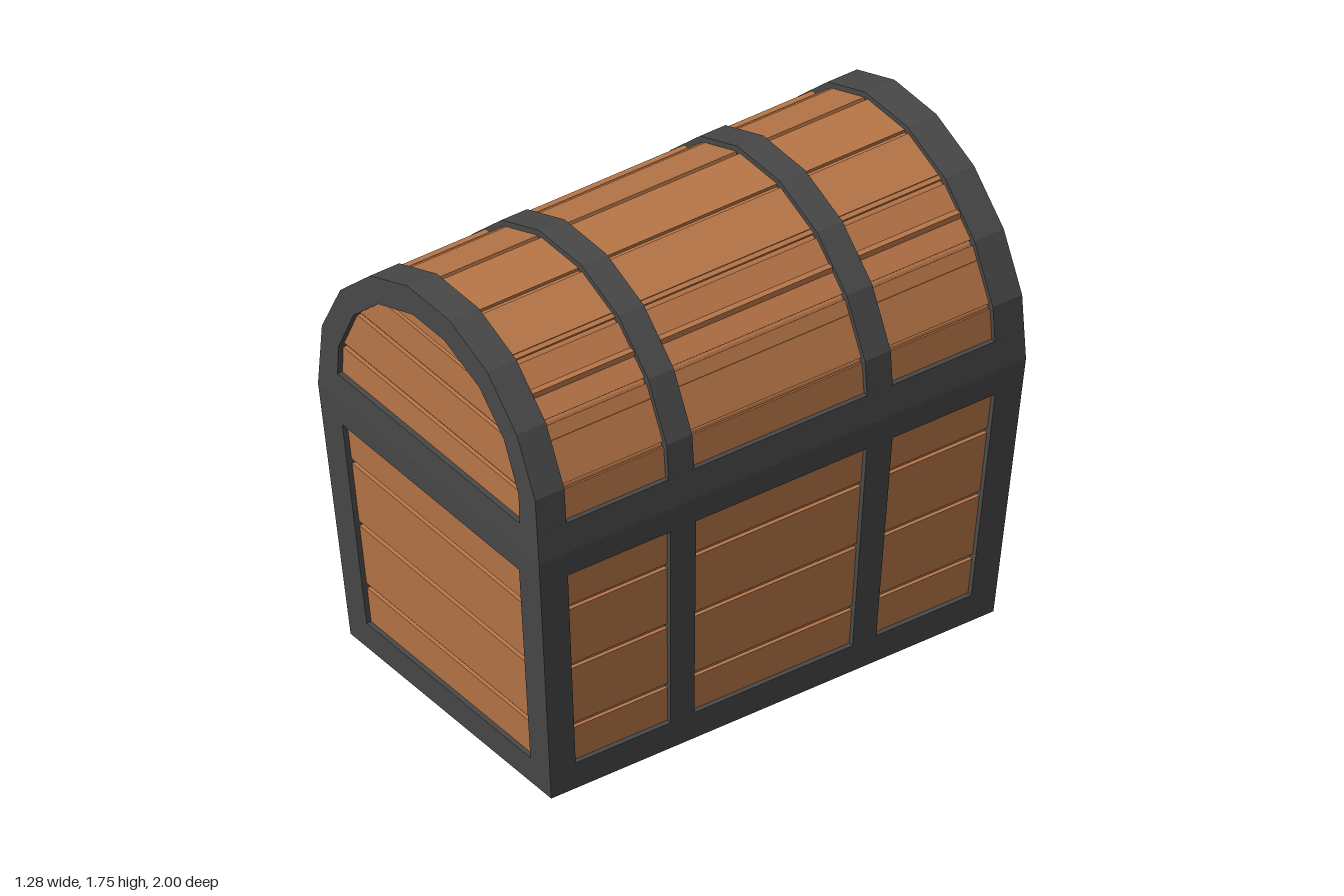
import * as THREE from 'three';

const W = 0.632, D = 1.0, SEAM = 1.04;
const mat = (name, color) => Object.assign(new THREE.MeshStandardMaterial({ color }), { name });

export function createModel() {
  const wood = mat('wood', 0xb87648);
  const iron = mat('iron', 0x484848);
  const steel = mat('steel', 0x626262);

  const chest = new THREE.Group();
  chest.name = 'chest';
  const body = new THREE.Group();
  body.name = 'body';
  const lid = new THREE.Group();
  lid.name = 'lid';
  chest.add(body, lid);

  // Narrow everything below the seam toward the floor, then shade flat
  function add(parent, name, geo, material) {
    const g = geo.index ? geo.toNonIndexed() : geo;
    const p = g.attributes.position;
    for (let i = 0; i < p.count; i++) {
      const s = 0.908 + 0.092 * Math.min(1, p.getY(i) / SEAM);
      p.setX(i, p.getX(i) * s);
      p.setZ(i, p.getZ(i) * s);
    }
    g.computeVertexNormals();
    const mesh = new THREE.Mesh(g, material);
    mesh.name = name;
    parent.add(mesh);
  }
  const box = (x0, x1, y0, y1, z0, z1) => new THREE.BoxGeometry(x1 - x0, y1 - y0, z1 - z0)
    .translate((x0 + x1) / 2, (y0 + y1) / 2, (z0 + z1) / 2);
  const toShape = (pts) => new THREE.Shape(pts.map(([x, y]) => new THREE.Vector2(x, y)));
  const rect = (x0, x1, y0, y1) => [[x0, y0], [x1, y0], [x1, y1], [x0, y1]];
  const mirrored = (half) => [...half, ...half.map(([x, y]) => [-x, y]).reverse()];

  // Extrude an outline with holes along z from z0 to z1
  function extrude(pts, z0, z1, holes = []) {
    const shape = toShape(pts);
    shape.holes = holes.map(toShape);
    return new THREE.ExtrudeGeometry(shape, { depth: z1 - z0, bevelEnabled: false, curveSegments: 8 })
      .translate(0, 0, z0);
  }
  // The same, but along x
  const extrudeX = (pts, x0, x1, holes) => extrude(pts, x0, x1, holes).rotateY(Math.PI / 2);

  // Body: wooden core and iron base
  add(body, 'bodyCore', box(-W + 0.035, W - 0.035, 0.01, SEAM, -D + 0.035, D - 0.035), wood);
  add(body, 'basePlate', box(-W, W, 0, 0.02, -D, D), iron);

  // Body planks on all four sides
  for (const [y0, y1] of [[0.05, 0.25], [0.27, 0.51], [0.53, 0.77], [0.79, 1.0]]) {
    add(body, 'endPlanks', box(-W + 0.05, W - 0.05, y0, y1, -D + 0.02, D - 0.02), wood);
    add(body, 'sidePlanks', box(-W + 0.02, W - 0.02, y0, y1, -D + 0.05, D - 0.05), wood);
  }

  // Iron frames with open panels
  const endHole = [rect(-0.51, 0.51, 0.11, 0.94)];
  const sideHoles = [[-0.885, -0.46], [-0.354, 0.354], [0.46, 0.885]]
    .map(([a, b]) => rect(a, b, 0.11, 0.94));
  for (const s of [-1, 1]) {
    const [z0, z1] = s > 0 ? [D - 0.04, D] : [-D, -D + 0.04];
    add(body, 'endFrame', extrude(rect(-W, W, 0, SEAM), z0, z1, endHole), iron);
    const [x0, x1] = s > 0 ? [W - 0.04, W] : [-W, -W + 0.04];
    add(body, 'sideFrame', extrudeX(rect(-D, D, 0, SEAM), x0, x1, sideHoles), iron);
  }

  // Lid profile and the opening in its end rings
  const arch = mirrored([[W, SEAM], [0.61, 1.29], [0.505, 1.5], [0.335, 1.66], [0.12, 1.745]]);
  const opening = mirrored([[0.52, 1.145], [0.515, 1.26], [0.43, 1.44], [0.29, 1.57], [0.09, 1.645]]);
  const shrink = (pts, s) => pts.map(([x, y]) => [x * s, SEAM + (y - SEAM) * s]);
  const outer = shrink(arch, 0.971), inner = shrink(arch, 0.952);

  add(lid, 'lidCore', extrude(inner, -D + 0.035, D - 0.035), wood);

  // Long planks around the curve, with a groove at each corner
  const mix = (a, b, t) => [a[0] + (b[0] - a[0]) * t, a[1] + (b[1] - a[1]) * t];
  for (let i = 0; i < arch.length - 1; i++) {
    const a = outer[i], b = outer[i + 1];
    const t = 0.01 / Math.hypot(b[0] - a[0], b[1] - a[1]);
    const c = shrink([a, b], 0.96);
    add(lid, 'lidPlank', extrude(
      [mix(a, b, t), mix(a, b, 1 - t), mix(c[0], c[1], 1 - t), mix(c[0], c[1], t)],
      -D + 0.06, D - 0.06), wood);
  }

  // Planks on the lid ends
  for (const [y0, y1, w] of [[1.1, 1.25, 0.54], [1.27, 1.43, 0.52], [1.45, 1.57, 0.425], [1.585, 1.655, 0.3]])
    add(lid, 'lidEndPlank', box(-w, w, y0, y1, -D + 0.02, D - 0.02), wood);

  // Iron rings, hoops and the rail along the lid's lower edge
  add(lid, 'endRing', extrude(arch, D - 0.12, D, [opening]), iron);
  add(lid, 'endRing', extrude(arch, -D, -D + 0.12, [opening]), iron);
  add(lid, 'hoop', extrude(arch, 0.355, 0.46), iron);
  add(lid, 'hoop', extrude(arch, -0.46, -0.355), iron);
  for (const s of [-1, 1]) {
    const rail = [[s * W, SEAM], [s * 0.622, 1.155], [s * 0.56, 1.155], [s * 0.56, SEAM]];
    add(lid, 'lidRail', extrude(rail, -D + 0.002, D - 0.002), iron);
  }

  // Lock on the right side
  add(lid, 'hasp', extrudeX(rect(-0.12, 0.12, SEAM, 1.15), -0.642, -0.6), iron);
  add(body, 'lockPlate', extrudeX([[-0.09, 0.81], [0.09, 0.81], [0.11, SEAM], [-0.11, SEAM]], -0.642, -0.59), iron);
  const keyhole = [[-0.035, 0.86], [0.035, 0.86]];
  for (let i = 0; i <= 10; i++) {
    const a = -0.9 + (i / 10) * (Math.PI + 1.8);
    keyhole.push([0.045 * Math.cos(a), 0.985 + 0.045 * Math.sin(a)]);
  }
  add(body, 'keyhole', extrudeX(keyhole, -0.646, -0.64), steel);

  return chest;
}
